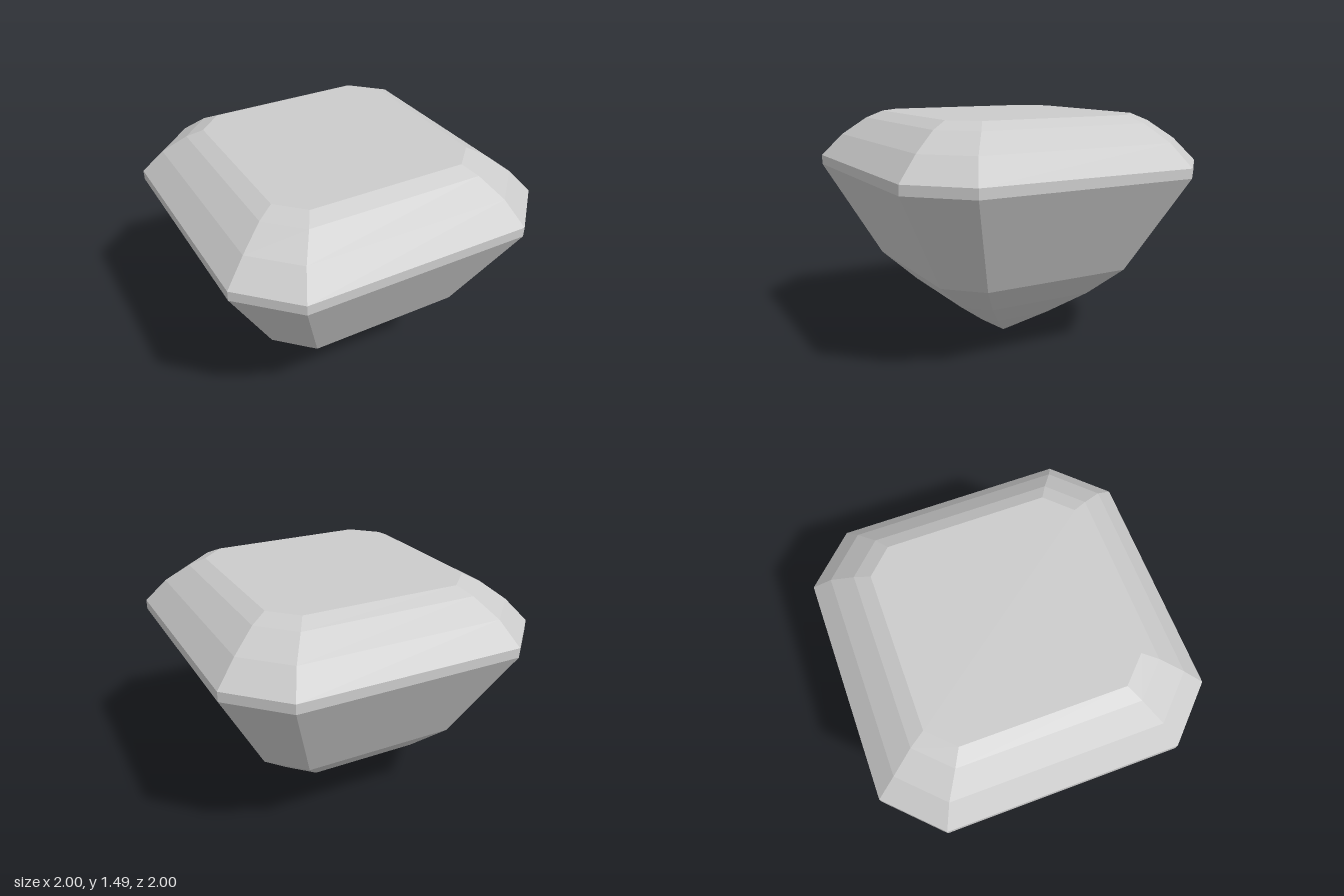
import * as THREE from 'three';

// Octagonal cross-section: half width a, cut corners starting at c
const section = ([y, a, c]) => [
  [c, a], [a, c], [a, -c], [c, -a], [-c, -a], [-a, -c], [-a, c], [-c, a],
].map(([x, z]) => new THREE.Vector3(x, y, z));

// Flat facets between stacked sections (listed bottom to top)
function facets(name, levels, material, capTop = false) {
  const rings = levels.map(section);
  const points = [];
  for (let k = 0; k < rings.length - 1; k++) {
    const lo = rings[k], hi = rings[k + 1];
    for (let i = 0; i < 8; i++) {
      const j = (i + 1) % 8;
      if (levels[k][1] > 0) points.push(lo[i], lo[j], hi[j]);
      points.push(lo[i], hi[j], hi[i]);
    }
  }
  if (capTop) {
    const top = rings[rings.length - 1];
    for (let i = 1; i < 7; i++) points.push(top[0], top[i], top[i + 1]);
  }
  const geometry = new THREE.BufferGeometry().setFromPoints(points);
  geometry.computeVertexNormals();
  const mesh = new THREE.Mesh(geometry, material);
  mesh.name = name;
  return mesh;
}

export function createModel() {
  const group = new THREE.Group();
  group.name = 'cutGem';
  const material = new THREE.MeshStandardMaterial({ color: 0xcccccc, flatShading: true });

  // Lower facets, from the point up to the girdle
  group.add(facets('pavilion', [
    [0, 0, 0], [0.18, 0.265, 0.19], [0.345, 0.485, 0.345], [0.53, 0.68, 0.48], [1.13, 1, 0.7],
  ], material));

  // Upright band around the widest part
  group.add(facets('girdle', [[1.13, 1, 0.7], [1.19, 1, 0.7]], material));

  // Stepped upper facets and the flat table
  group.add(facets('crown', [
    [1.19, 1, 0.7], [1.33, 0.875, 0.635], [1.44, 0.735, 0.545], [1.485, 0.64, 0.49],
  ], material, true));

  return group;
}
